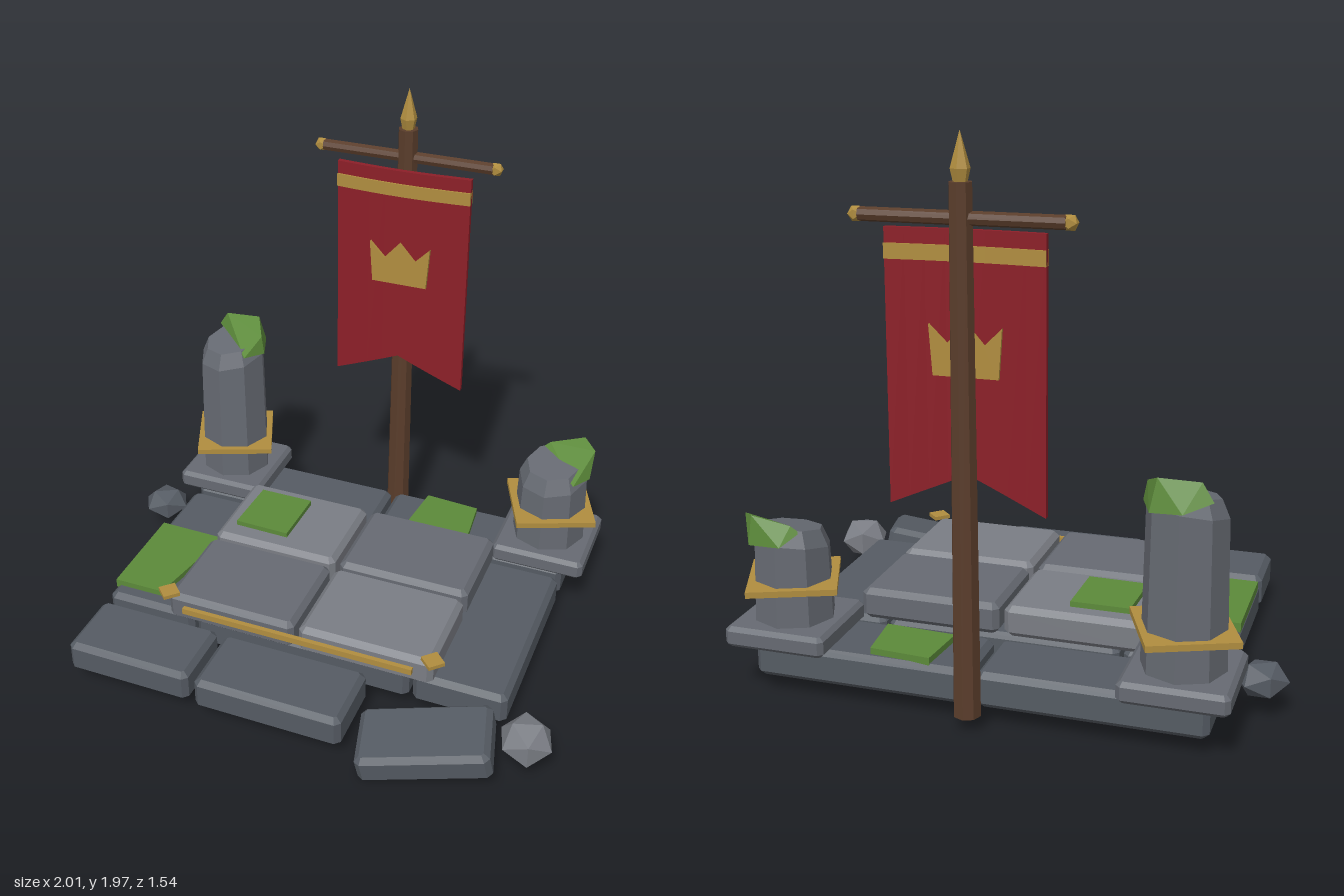
import * as THREE from 'three';
import { ConvexGeometry } from 'three/addons/geometries/ConvexGeometry.js';

const mat = (color) => new THREE.MeshStandardMaterial({ color, flatShading: true });
const DARK = mat(0x555b63), MID = mat(0x666a72), LIGHT = mat(0x7a7d84);
const MOSS = mat(0x5c8a3a), GOLD = mat(0xb08d3f), RED = mat(0x8c1f28), WOOD = mat(0x5a3d2b);

export function createModel() {
  const model = new THREE.Group();
  const add = (name, geometry, material, x = 0, y = 0, z = 0) => {
    const mesh = new THREE.Mesh(geometry, material);
    mesh.name = name;
    mesh.position.set(x, y, z);
    model.add(mesh);
    return mesh;
  };
  const polygon = (points) => new THREE.Shape(points.map(([x, y]) => new THREE.Vector2(x, y)));

  // Stone block with chamfered edges, centred on its origin
  const block = (w, h, d, b = 0.02) => {
    const X = w / 2 - b, Z = d / 2 - b, c = 0.008;
    const shape = polygon([[-X + c, -Z], [X - c, -Z], [X, -Z + c], [X, Z - c],
      [X - c, Z], [-X + c, Z], [-X, Z - c], [-X, -Z + c]]);
    const g = new THREE.ExtrudeGeometry(shape, {
      depth: h - 2 * b, bevelEnabled: true, bevelSegments: 1, bevelSize: b, bevelThickness: b });
    g.translate(0, 0, b - h / 2);
    return g.rotateX(-Math.PI / 2);
  };
  const slab = (name, material, [x0, x1], [y0, y1], [z0, z1], b) =>
    add(name, block(x1 - x0, y1 - y0, z1 - z0, b), material, (x0 + x1) / 2, (y0 + y1) / 2, (z0 + z1) / 2);

  // Lower paving: middle, back and front rows
  const low = [0.067, 0.195];
  for (const xs of [[-0.8, -0.44], [-0.425, 0.43], [0.445, 0.8]]) slab('lowerSlab', DARK, xs, low, [-0.38, 0.37]);
  for (const xs of [[-0.8, -0.01], [0.01, 0.8]]) slab('backSlab', DARK, xs, low, [-0.695, -0.41]);
  slab('frontSlab', DARK, [-0.8, -0.31], low, [0.405, 0.685]);
  slab('frontSlab', DARK, [-0.28, 0.29], low, [0.41, 0.695]);
  const loose = add('looseSlab', block(0.475, 0.115, 0.255), DARK, 0.575, 0.11, 0.59);
  loose.rotation.set(0.1, 0.22, 0.19, 'YZX');

  // Raised platform of four slabs
  const high = [0.19, 0.305];
  slab('upperSlab', LIGHT, [-0.52, -0.01], high, [-0.39, -0.005]);
  slab('upperSlab', MID, [0.01, 0.53], high, [-0.39, -0.005]);
  slab('upperSlab', MID, [-0.52, -0.01], high, [0.015, 0.405]);
  slab('upperSlab', LIGHT, [0.01, 0.53], high, [0.015, 0.405]);

  // Gold trim on the platform front
  add('frontTrim', new THREE.BoxGeometry(0.91, 0.024, 0.018), GOLD, 0.005, 0.257, 0.418);
  for (const x of [-0.515, 0.53])
    add('cornerStud', new THREE.BoxGeometry(0.064, 0.015, 0.064), GOLD, x, 0.311, 0.398).rotation.y = Math.PI / 4;

  // Broken pillars: eight sides, top tilted towards the back
  const pillar = (x, z, shoulder, tiltX, tiltZ) => {
    slab('pillarBase', MID, [x - 0.185, x + 0.185], [0.19, 0.265], [z - 0.185, z + 0.185], 0.015);
    const profile = [[0.145, 0.25], [0.135, shoulder], [0.108, shoulder + 0.06], [0, shoulder + 0.06]];
    const g = new THREE.LatheGeometry(profile.map(([r, y]) => new THREE.Vector2(r, y)), 8);
    const p = g.attributes.position;
    for (let i = 0; i < p.count; i++)
      if (p.getY(i) > 0.3) p.setY(i, p.getY(i) + tiltX * p.getX(i) + tiltZ * p.getZ(i));
    add('pillar', g, MID, x, 0, z);
    add('pillarBand', new THREE.BoxGeometry(0.31, 0.022, 0.31), GOLD, x, 0.4, z).rotation.y = Math.PI / 8;
  };
  pillar(-0.69, -0.575, 0.8, 0.12, -0.18);
  pillar(0.7, -0.57, 0.535, 0.05, -0.18);

  // Moss caps as faceted lumps
  const lump = (points, x, z) =>
    add('mossCap', new ConvexGeometry(points.map((p) => new THREE.Vector3(...p))), MOSS, x, 0, z);
  lump([[-0.1, 0.865, -0.1], [-0.01, 0.83, -0.14], [0.1, 0.82, -0.12], [0.145, 0.82, 0], [0.1, 0.84, 0.1],
    [-0.06, 0.925, -0.09], [0.08, 0.93, -0.1], [0.13, 0.89, -0.01]], -0.69, -0.575);
  lump([[-0.07, 0.6, -0.08], [-0.02, 0.56, -0.14], [0.1, 0.555, -0.13], [0.145, 0.55, 0], [0.1, 0.56, 0.09],
    [-0.04, 0.625, -0.09], [0.09, 0.66, -0.12], [0.145, 0.645, -0.06]], 0.7, -0.57);

  // Flat moss patches: corners given as x, z
  const patch = (y, corners) => {
    const g = new THREE.ExtrudeGeometry(polygon(corners.map(([x, z]) => [x, -z])), { depth: 0.035, bevelEnabled: false });
    add('mossPatch', g.rotateX(-Math.PI / 2), MOSS, 0, y, 0);
  };
  patch(0.183, [[-0.8, -0.09], [-0.53, -0.085], [-0.6, 0.31], [-0.8, 0.31]]);
  patch(0.29, [[-0.45, -0.32], [-0.235, -0.32], [-0.24, -0.08], [-0.46, -0.085]]);
  patch(0.183, [[0.155, -0.68], [0.375, -0.665], [0.395, -0.465], [0.135, -0.48]]);

  // Loose rocks
  const rock = (material, x, y, z, sx, sy, sz, turn) => {
    const m = add('rock', new THREE.IcosahedronGeometry(1, 0), material, x, y, z);
    m.scale.set(sx, sy, sz);
    m.rotation.y = turn;
  };
  rock(DARK, -0.915, 0.135, -0.33, 0.095, 0.067, 0.09, 0.5);
  rock(LIGHT, 0.905, 0.145, 0.48, 0.1, 0.085, 0.105, 0.3);

  // Pole, finial and crossbar
  const poleZ = -0.72;
  add('pole', new THREE.CylinderGeometry(0.038, 0.048, 1.765, 8), WOOD, 0.005, 0.9375, poleZ);
  const tip = [[0, 1.815], [0.022, 1.815], [0.032, 1.86], [0, 1.975]].map(([r, y]) => new THREE.Vector2(r, y));
  add('finial', new THREE.LatheGeometry(tip, 6), GOLD, 0.005, 0, poleZ);
  add('crossbar', new THREE.CylinderGeometry(0.023, 0.023, 0.67, 8), WOOD, 0.005, 1.71, poleZ).rotation.z = Math.PI / 2;
  for (const side of [-1, 1])
    add('crossbarKnob', new THREE.IcosahedronGeometry(0.028, 0), GOLD, 0.005 + side * 0.345, 1.71, poleZ);

  // Banner cloth: bulges forward in the middle, bottom edge notched
  const cloth = (h, depth, notch) => {
    const g = new THREE.BoxGeometry(0.53, h, depth, 8, 1, 1);
    const p = g.attributes.position;
    for (let i = 0; i < p.count; i++) {
      const t = Math.abs(p.getX(i)) / 0.265;
      if (p.getY(i) < 0) p.setY(i, p.getY(i) + notch * (1 - t));
      p.setZ(i, p.getZ(i) + 0.014 * Math.cos(t * Math.PI / 2));
    }
    return g;
  };
  add('banner', cloth(0.905, 0.02, 0.115), RED, 0.005, 1.2175, -0.688);
  add('bannerStripe', cloth(0.05, 0.034, 0), GOLD, 0.005, 1.595, -0.688);
  const crown = polygon([[-0.11, 1.205], [0.11, 1.205], [0.122, 1.37], [0.062, 1.31],
    [0, 1.38], [-0.062, 1.31], [-0.122, 1.37]]);
  add('bannerCrown', new THREE.ExtrudeGeometry(crown, { depth: 0.045, bevelEnabled: false }), GOLD, 0.005, 0, -0.698);

  return model;
}
